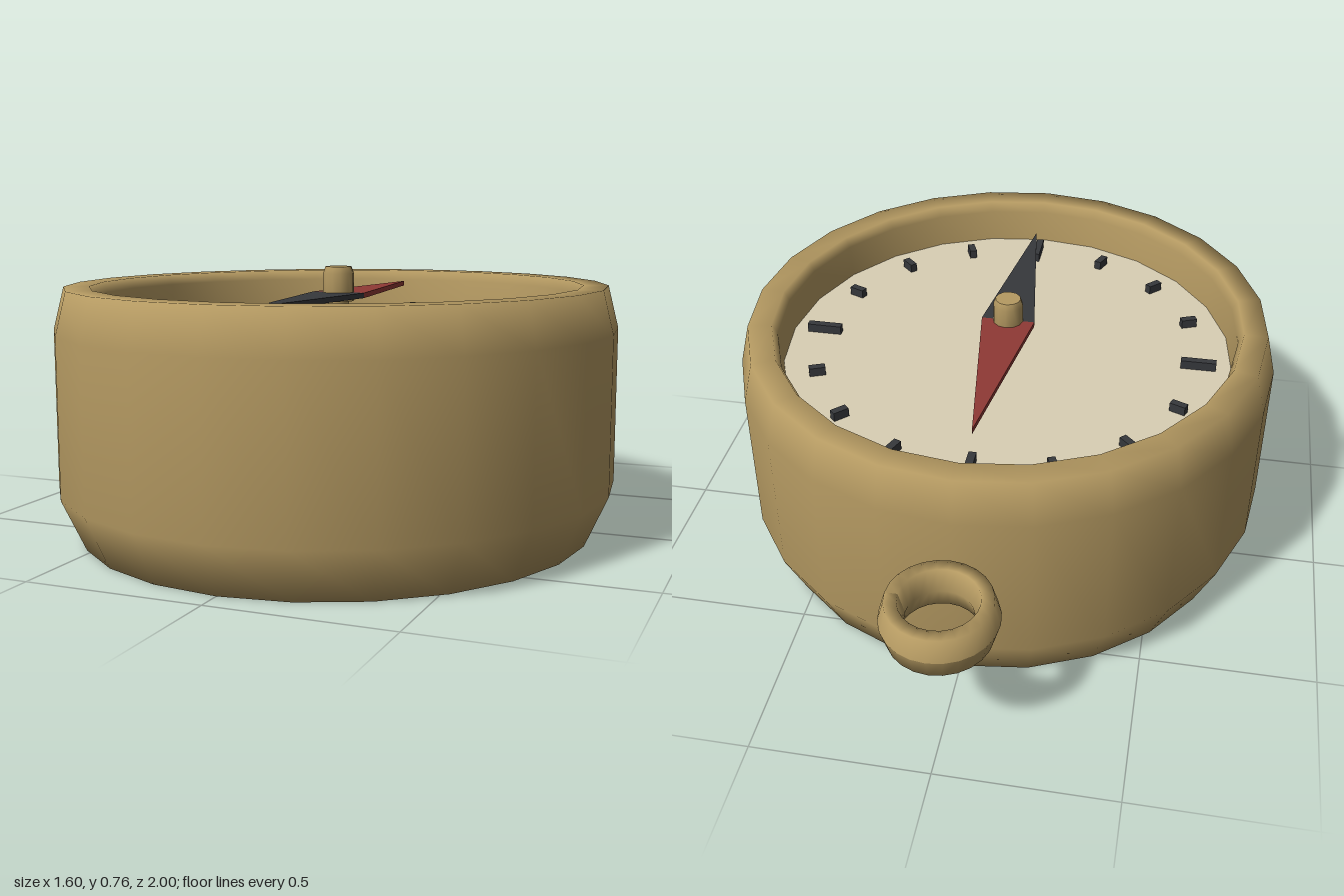
import * as THREE from 'three';

const paint = (color) => new THREE.MeshStandardMaterial({ color });
const brass = paint(0xb59a62);
const cream = paint(0xd9cfb4);
const red = paint(0x8f3a35);
const dark = paint(0x36383c);

function addMesh(parent, name, geometry, material, x = 0, y = 0, z = 0) {
  const mesh = new THREE.Mesh(geometry, material);
  mesh.name = name;
  mesh.position.set(x, y, z);
  parent.add(mesh);
  return mesh;
}

// One half of the needle: a thin triangle pointing along -z
function needleHalf() {
  const shape = new THREE.Shape([
    new THREE.Vector2(-0.08, 0),
    new THREE.Vector2(0.08, 0),
    new THREE.Vector2(0, 0.56),
  ]);
  return new THREE.ExtrudeGeometry(shape, { depth: 0.015, bevelEnabled: false }).rotateX(-Math.PI / 2);
}

export function createModel() {
  const model = new THREE.Group();
  model.name = 'compass';
  const STRETCH = 1.05; // the case is slightly oval along z

  const body = new THREE.Group();
  body.name = 'body';
  body.position.z = 0.155;
  model.add(body);

  // Case with chamfered foot, rounded rim and recessed inner wall
  const profile = [
    [0, 0], [0.735, 0], [0.8, 0.145], [0.8, 0.59], [0.77, 0.71],
    [0.7, 0.71], [0.685, 0.68], [0.675, 0.56],
  ].map(([r, y]) => new THREE.Vector2(r, y));
  const caseMesh = addMesh(body, 'case', new THREE.LatheGeometry(profile, 24), brass);
  caseMesh.scale.z = STRETCH;

  // Dial plate
  const dial = addMesh(body, 'dial', new THREE.CylinderGeometry(0.68, 0.68, 0.04, 24), cream, 0, 0.56, 0);
  dial.scale.z = STRETCH;

  // Sixteen hour marks, longer at the four main directions
  for (let i = 0; i < 16; i++) {
    const a = (i / 16) * Math.PI * 2;
    const length = i % 4 === 0 ? 0.105 : 0.048;
    const mark = addMesh(body, 'dialMark', new THREE.BoxGeometry(0.022, 0.03, length), dark,
      Math.sin(a) * 0.578, 0.592, Math.cos(a) * 0.578 * STRETCH);
    mark.rotation.y = a;
  }

  // Two-coloured needle on its pivot
  addMesh(body, 'northNeedle', needleHalf(), red, 0, 0.67, 0);
  addMesh(body, 'southNeedle', needleHalf(), dark, 0, 0.67, 0).rotation.y = Math.PI;
  const pivotProfile = [[0.03, 0.57], [0.03, 0.66], [0.045, 0.66], [0.045, 0.74], [0.038, 0.76]]
    .map(([r, y]) => new THREE.Vector2(r, y));
  addMesh(body, 'pivot', new THREE.LatheGeometry(pivotProfile, 12), brass);
  addMesh(body, 'pivotCap', new THREE.CircleGeometry(0.038, 12).rotateX(-Math.PI / 2), brass, 0, 0.76, 0);

  // Hanging ring at the back, with a tall tube section
  const ring = new THREE.TorusGeometry(0.123, 0.034, 6, 24).rotateX(Math.PI / 2).scale(1, 2.05, 1.02);
  ring.computeVertexNormals();
  addMesh(model, 'hangingRing', ring, brass, 0, 0.42, -0.84);

  return model;
}
